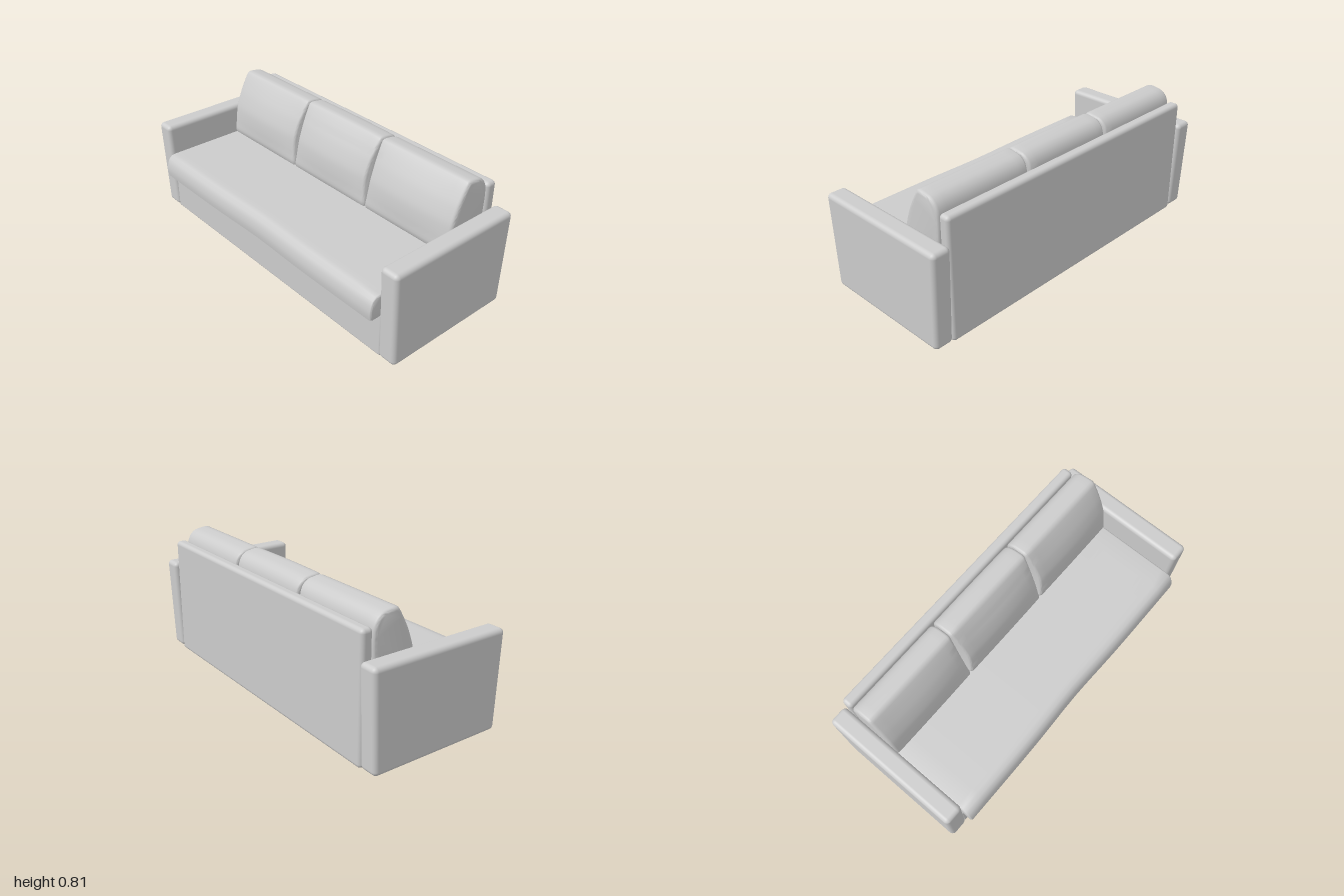
import * as THREE from 'three';
import { RoundedBoxGeometry } from 'three/addons/geometries/RoundedBoxGeometry.js';
import { toCreasedNormals } from 'three/addons/utils/BufferGeometryUtils.js';

const material = new THREE.MeshStandardMaterial({ color: 0xcccccc });

function add(group, name, geometry) {
  const mesh = new THREE.Mesh(geometry, material);
  mesh.name = name;
  group.add(mesh);
  return mesh;
}

// Moves every vertex by a rule
function reshape(geometry, rule) {
  const p = geometry.attributes.position;
  const v = new THREE.Vector3();
  for (let i = 0; i < p.count; i++) {
    rule(v.fromBufferAttribute(p, i));
    p.setXYZ(i, v.x, v.y, v.z);
  }
  return geometry;
}

// Rounded box given by its minimum and maximum corners
function softBox(min, max, radius) {
  const size = max.map((m, i) => m - min[i]);
  const g = new RoundedBoxGeometry(...size, 5, radius);
  return g.translate(...max.map((m, i) => (m + min[i]) / 2));
}

// Extrudes a side profile of [z, y] points across x, centred, with rounded ends
function profileAcross(shape, width, bevel, steps) {
  const g = new THREE.ExtrudeGeometry(shape, {
    depth: width - 2 * bevel, steps, curveSegments: 8,
    bevelEnabled: true, bevelThickness: bevel, bevelSize: bevel, bevelOffset: -bevel, bevelSegments: 4,
  });
  return g.translate(0, 0, bevel - width / 2).rotateY(Math.PI / 2);
}

// Closed smooth outline through [z, y] points
function smoothShape(points) {
  const curve = new THREE.CatmullRomCurve3(points.map(([z, y]) => new THREE.Vector3(-z, y, 0)), true, 'catmullrom', 0.35);
  return new THREE.Shape(curve.getSpacedPoints(64).slice(0, -1).map(p => new THREE.Vector2(p.x, p.y)));
}

export function createModel() {
  const sofa = new THREE.Group();
  sofa.name = 'sofa';

  // Arms, slightly longer at the top than at the bottom
  for (const side of [-1, 1]) {
    const arm = softBox([-0.055, 0.057, -0.427], [0.055, 0.602, 0.388], 0.025);
    reshape(arm, v => {
      const drop = (0.602 - v.y) / 0.545;
      v.z -= drop * 0.018 * Math.sign(v.z);
    });
    arm.translate(side * 0.942, 0, 0);
    add(sofa, side > 0 ? 'leftArm' : 'rightArm', arm);
  }

  // Base box and backrest panel
  add(sofa, 'base', softBox([-0.895, 0.055, -0.39], [0.895, 0.31, 0.365], 0.012));
  const back = softBox([-0.888, 0.048, -0.41], [0.888, 0.742, -0.345], 0.022);
  add(sofa, 'backPanel', back);

  // Seat cushion with a rounded front edge, dipping in a little at the middle
  const seatShape = smoothShape([
    [0.425, 0.302], [0.429, 0.32], [0.428, 0.36], [0.418, 0.398], [0.404, 0.42], [0.385, 0.428], [0.34, 0.43],
    [0, 0.43], [-0.3, 0.43], [-0.335, 0.42], [-0.335, 0.31], [-0.3, 0.296], [0, 0.296], [0.39, 0.296], [0.415, 0.297],
  ]);
  const seat = profileAcross(seatShape, 1.77, 0.012, 16);
  reshape(seat, v => {
    if (v.z > 0.3) v.z -= 0.01 * Math.exp(-Math.pow(v.x / 0.25, 2));
  });
  add(sofa, 'seatCushion', toCreasedNormals(seat, 0.7));

  // Three back cushions, pinched in at the sides and full in the middle
  const cushionShape = smoothShape([
    [-0.09, 0.428], [-0.088, 0.5], [-0.103, 0.6], [-0.135, 0.69], [-0.17, 0.76], [-0.196, 0.802],
    [-0.21, 0.808], [-0.25, 0.804], [-0.29, 0.795], [-0.32, 0.77], [-0.337, 0.73], [-0.341, 0.66],
    [-0.335, 0.55], [-0.32, 0.428], [-0.22, 0.426],
  ]);
  ['rightBackCushion', 'middleBackCushion', 'leftBackCushion'].forEach((name, i) => {
    const cushion = profileAcross(cushionShape, 0.592, 0.018, 12);
    reshape(cushion, v => {
      const u = v.x / 0.296;
      const h = THREE.MathUtils.clamp((v.y - 0.43) / 0.375, 0, 1);
      const inner = i === 1 || Math.sign(v.x) === 1 - i;
      if (inner) v.x -= 0.014 * Math.sin(Math.PI * h) * u * u * u;
      if (v.z > -0.2) v.z += 0.014 * Math.sin(Math.PI * h) * (1 - u * u);
      if (i === 1 && h > 0.8) v.y += 0.004 * (1 - u * u);
    });
    cushion.translate((i - 1) * 0.59, 0, 0);
    add(sofa, name, toCreasedNormals(cushion, 0.7));
  });

  // Small splayed legs with a flared top
  const legProfile = [[0, 0], [0.006, 0.002], [0.009, 0.012], [0.011, 0.035], [0.014, 0.048], [0.026, 0.06]]
    .map(([r, y]) => new THREE.Vector2(r, y));
  for (const x of [-0.86, 0.86]) {
    for (const [z, lean] of [[0.3, -0.2], [-0.292, 0.05]]) {
      const leg = new THREE.LatheGeometry(legProfile, 16);
      reshape(leg, v => { v.z += lean * v.y; });
      leg.computeVertexNormals();
      add(sofa, (z > 0 ? 'front' : 'back') + (x > 0 ? 'Left' : 'Right') + 'Leg', leg).position.set(x, 0, z);
    }
  }

  return sofa;
}
